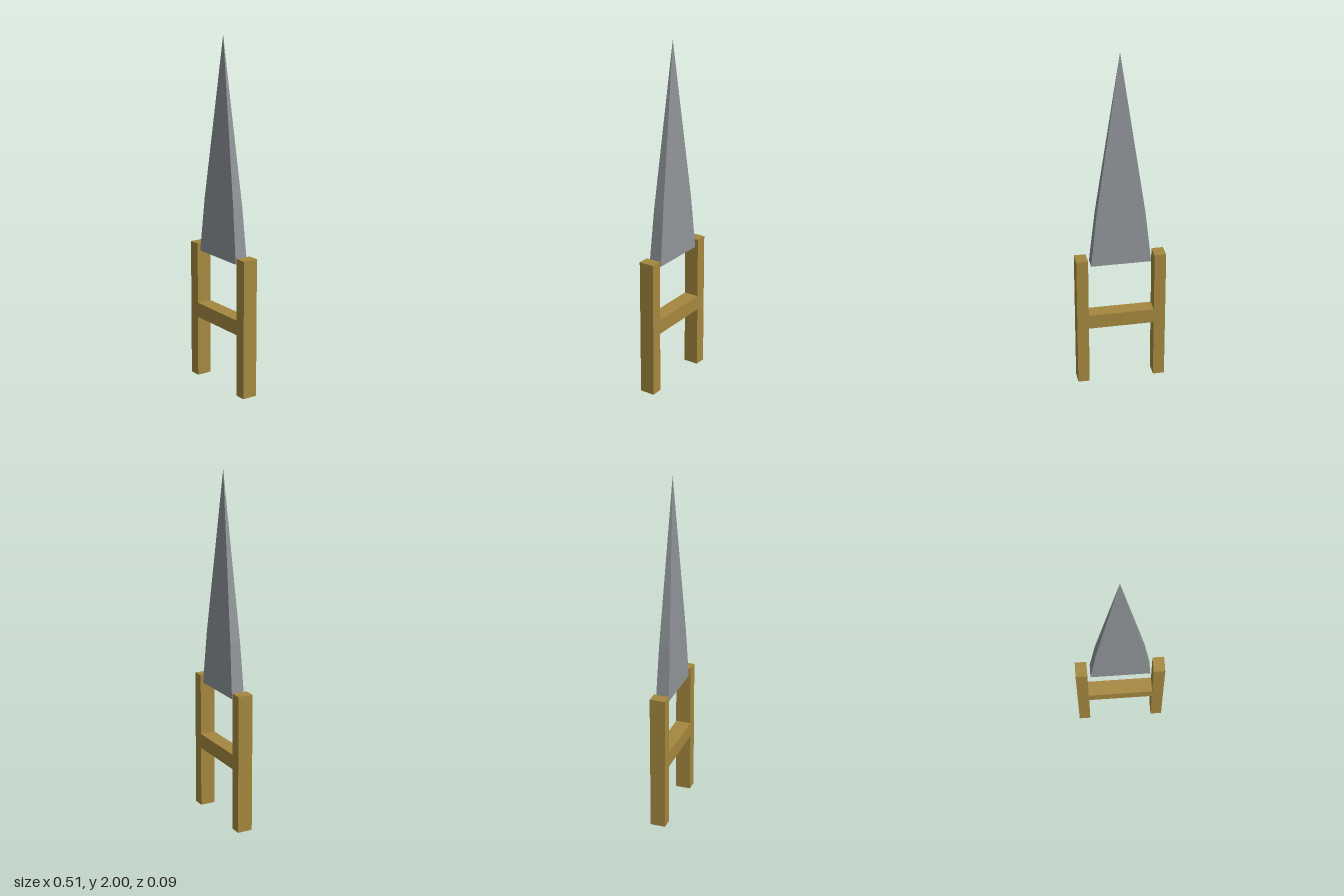
import * as THREE from 'three';

export function createModel() {
  const model = new THREE.Group();
  const wood = new THREE.MeshStandardMaterial({ color: 0xa5883f, flatShading: true });
  wood.name = 'wood';
  const steel = new THREE.MeshStandardMaterial({ color: 0x8f9498, flatShading: true });
  steel.name = 'steel';

  function add(name, geometry, material, x, y) {
    const mesh = new THREE.Mesh(geometry, material);
    mesh.name = name;
    mesh.position.set(x, y, 0);
    model.add(mesh);
  }

  // Two upright posts joined by a crossbar
  const postX = 0.2235, postWidth = 0.067, depth = 0.088;
  for (const [name, side] of [['leftPost', 1], ['rightPost', -1]]) {
    add(name, new THREE.BoxGeometry(postWidth, 0.8, depth), wood, side * postX, 0.4);
  }
  add('crossbar', new THREE.BoxGeometry(2 * postX - postWidth, 0.086, depth), wood, 0, 0.402);

  // Four-sided spike with a slight bend, squashed into a flat blade
  const bottom = 0.762;
  const profile = [[0, 0], [1, 0], [0.8, 0.31], [0, 2 - bottom]]
    .map(([r, y]) => new THREE.Vector2(r, y));
  const blade = new THREE.LatheGeometry(profile, 4, Math.PI / 4);
  blade.scale(0.172 * Math.SQRT2, 1, 0.038 * Math.SQRT2);
  const flatBlade = blade.toNonIndexed();
  flatBlade.computeVertexNormals();
  add('blade', flatBlade, steel, 0, bottom);

  return model;
}
